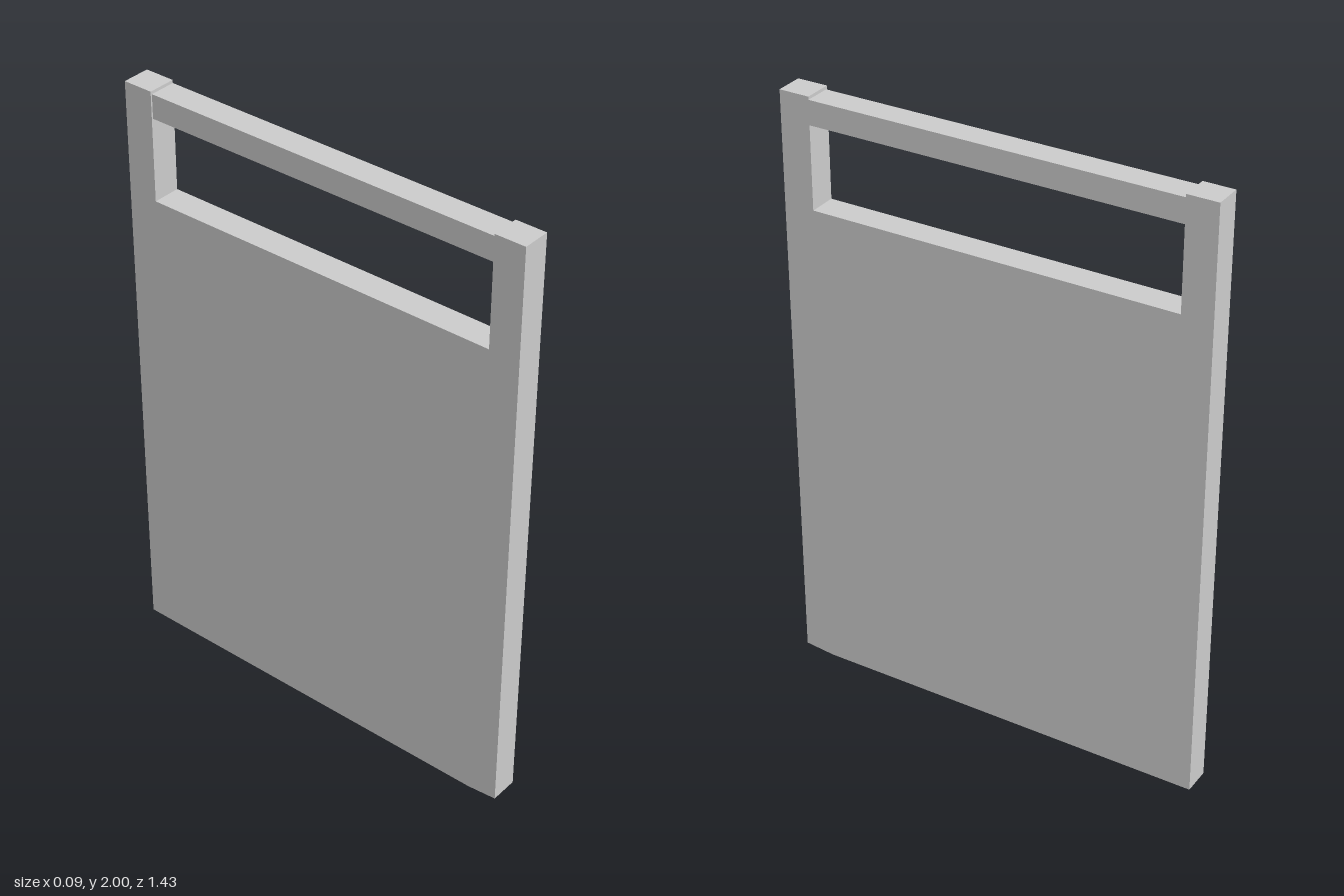
import * as THREE from 'three';

export function createModel() {
  const group = new THREE.Group();
  const material = new THREE.MeshStandardMaterial({ color: 0xcccccc, flatShading: true });
  const thickness = 0.094, width = 0.717, inner = 0.615, sill = 1.635;

  // Panel with two upright posts; the front foot is slightly chamfered
  const outline = new THREE.Shape([
    [-width, 0.01], [-inner, 0], [width, 0], [width, 2],
    [inner, 2], [inner, sill], [-inner, sill], [-inner, 2], [-width, 2],
  ].map(([x, y]) => new THREE.Vector2(x, y)));
  const panelGeometry = new THREE.ExtrudeGeometry(outline, { depth: thickness, bevelEnabled: false });
  panelGeometry.translate(0, 0, -thickness / 2).rotateY(Math.PI / 2);
  const panel = new THREE.Mesh(panelGeometry, material);
  panel.name = 'panelWithPosts';
  group.add(panel);

  // Top rail, a little lower than the posts and set back on one face
  const inset = 0.005;
  const rail = new THREE.Mesh(new THREE.BoxGeometry(thickness - inset, 0.08, inner * 2), material);
  rail.position.set(inset / 2, 1.95, 0);
  rail.name = 'topRail';
  group.add(rail);

  return group;
}
